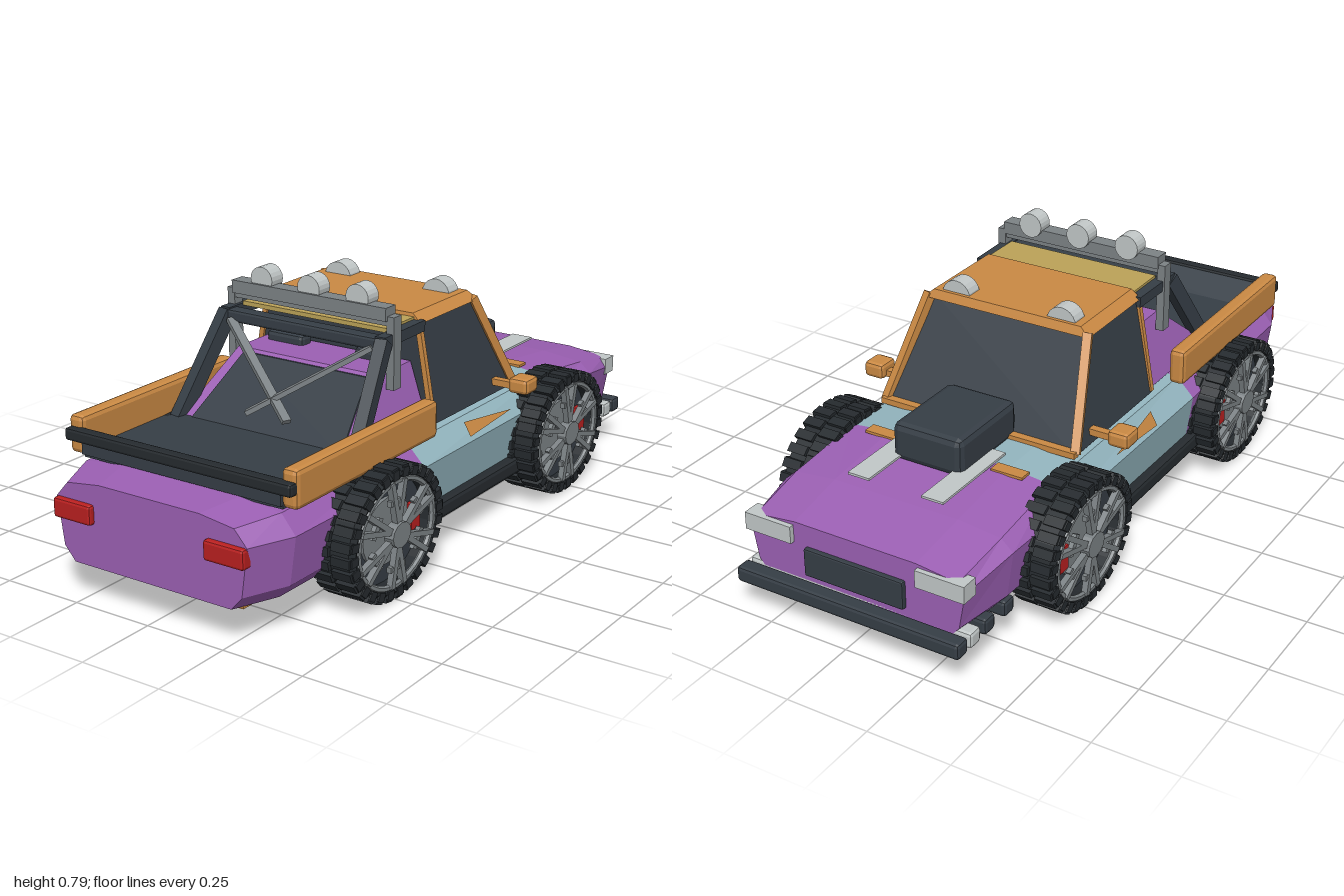
import * as THREE from 'three';
import { mergeGeometries } from 'three/addons/utils/BufferGeometryUtils.js';
import { RoundedBoxGeometry } from 'three/addons/geometries/RoundedBoxGeometry.js';

const mat = (name, color) => {
  const m = new THREE.MeshStandardMaterial({ color, flatShading: true });
  m.name = name;
  return m;
};

// Closed skin through rings of points; each ring is counter-clockwise seen from the first end.
function loft(rings) {
  const pos = [];
  const n = rings[0].length;
  const tri = (a, b, c) => pos.push(...a, ...b, ...c);
  for (let k = 0; k < rings.length - 1; k++) {
    for (let i = 0; i < n; i++) {
      const j = (i + 1) % n, a = rings[k], b = rings[k + 1];
      tri(a[i], b[i], b[j]);
      tri(a[i], b[j], a[j]);
    }
  }
  const first = rings[0], last = rings[rings.length - 1];
  for (let i = 1; i < n - 1; i++) {
    tri(first[0], first[i], first[i + 1]);
    tri(last[0], last[i + 1], last[i]);
  }
  const g = new THREE.BufferGeometry();
  g.setAttribute('position', new THREE.Float32BufferAttribute(pos, 3));
  g.computeVertexNormals();
  return g;
}

// Level rectangle used as the top or bottom of a tapered block.
const rect = (y, x, zBack, zNose) => [[x, y, zBack], [x, y, zNose], [-x, y, zNose], [-x, y, zBack]];

// Body cross-section at one station.
function bodyRing([z, top, wTop, w]) {
  const half = [[w - 0.055, 0.11], [w - 0.02, 0.15], [w, Math.min(0.29, top - 0.045)], [wTop, top - 0.015], [wTop * 0.6, top]];
  const left = half.map(([x, y]) => [x, y, z]);
  return [...left, ...left.map(([x, y]) => [-x, y, z]).reverse()];
}

export function createModel() {
  const purple = mat('purple paint', 0x9c60b4);
  const blue = mat('pale blue paint', 0x94b6c0);
  const orange = mat('orange paint', 0xcb8a44);
  const dark = mat('dark trim', 0x363e46);
  const rubber = mat('black rubber', 0x262b2f);
  const yellow = mat('yellow panel', 0xbca358);
  const pale = mat('pale grey', 0xc2c8c8);
  const metal = mat('grey metal', 0x7d8386);
  const red = mat('red', 0xba2020);

  const car = new THREE.Group();
  car.name = 'pickup';
  const add = (name, geo, material, parent = car) => {
    const m = new THREE.Mesh(geo, material);
    m.name = name;
    parent.add(m);
    return m;
  };
  // Boxes given by their limits, plain or chamfered
  const box = (name, m, x0, x1, y0, y1, z0, z1, r = 0) => {
    const s = [x1 - x0, y1 - y0, z1 - z0];
    const mesh = add(name, r ? new RoundedBoxGeometry(...s, 1, r) : new THREE.BoxGeometry(...s), m);
    mesh.position.set((x0 + x1) / 2, (y0 + y1) / 2, (z0 + z1) / 2);
    return mesh;
  };
  const pair = (name, m, x0, x1, ...rest) => {
    box(name + 'Left', m, x0, x1, ...rest);
    box(name + 'Right', m, -x1, -x0, ...rest);
  };
  const bar = (name, m, a, b, w, h = w) => {
    const p = new THREE.Vector3(...a), q = new THREE.Vector3(...b);
    const mesh = add(name, new THREE.BoxGeometry(w, h, p.distanceTo(q)), m);
    mesh.position.copy(p).lerp(q, 0.5);
    mesh.lookAt(q);
  };

  // Body shell: tail, middle, nose
  const tailEnd = [0.26, 0.362, 0.33, 0.385], cowl = [-0.49, 0.366, 0.33, 0.38];
  add('tailBody', loft([[0.98, 0.35, 0.28, 0.32], [0.85, 0.36, 0.33, 0.375], tailEnd].map(bodyRing)), purple);
  add('middleBody', loft([tailEnd, cowl].map(bodyRing)), blue);
  add('noseBody', loft([cowl, [-0.75, 0.338, 0.335, 0.372], [-0.94, 0.305, 0.325, 0.345]].map(bodyRing)), purple);

  // Floor
  box('rearFloor', orange, -0.28, 0.28, 0.103, 0.112, 0.55, 0.95);
  box('middleFloor', blue, -0.32, 0.32, 0.103, 0.112, -0.3, 0.55);
  box('frontFloor', orange, -0.3, 0.3, 0.103, 0.112, -0.9, -0.3);
  for (let i = 0; i < 6; i++) box('floorStripe', orange, -0.24, 0.24, 0.1, 0.105, -0.28 + i * 0.04, -0.26 + i * 0.04);
  pair('sill', rubber, 0.3, 0.395, 0.11, 0.16, -0.32, 0.32, 0.012);

  // Bumper bars under the nose
  [[-0.75, dark], [-0.845, dark], [-0.915, pale], [-0.975, dark]].forEach(([z, m]) =>
    box('bumperBar', m, -0.36, 0.36, 0.095, 0.142, z - 0.025, z + 0.025, 0.01));

  // Lamps and grille
  pair('tailLamp', red, 0.19, 0.32, 0.233, 0.29, 0.96, 0.998, 0.008);
  pair('headLamp', pale, 0.2, 0.352, 0.242, 0.294, -0.955, -0.9);
  box('grille', dark, -0.16, 0.16, 0.155, 0.24, -0.955, -0.93, 0.005);

  // Hood details
  box('hoodScoop', dark, -0.113, 0.113, 0.355, 0.47, -0.6, -0.31, 0.02);
  pair('hoodStripe', pale, 0.085, 0.155, 0.368, 0.375, -0.75, -0.44);
  pair('hoodPatch', orange, 0.16, 0.26, 0.36, 0.368, -0.525, -0.485);

  // Side flashes
  const flash = new THREE.BufferGeometry();
  flash.setAttribute('position', new THREE.Float32BufferAttribute(
    [0.388, 0.31, 0.02, 0.384, 0.325, -0.22, 0.365, 0.35, 0.02], 3));
  flash.computeVertexNormals();
  const flashPaint = mat('orange flash', 0xcb8a44);
  flashPaint.side = THREE.DoubleSide;
  for (const s of [1, -1]) add('sideFlash', flash, flashPaint).scale.x = s;

  // Cabin glass, roof and frame
  add('cabinGlass', loft([rect(0.66, 0.262, 0.11, -0.165), rect(0.36, 0.32, 0.11, -0.34)]), dark);
  add('roof', loft([rect(0.678, 0.245, 0.11, -0.185), rect(0.652, 0.275, 0.115, -0.195)]), orange);
  box('rearRoofPanel', yellow, -0.25, 0.25, 0.655, 0.668, 0.11, 0.25);
  for (const s of [1, -1]) {
    bar('windshieldPillar', orange, [s * 0.318, 0.365, -0.335], [s * 0.264, 0.66, -0.178], 0.026);
    bar('doorPillar', orange, [s * 0.316, 0.365, 0.11], [s * 0.264, 0.655, 0.11], 0.016);
  }
  box('windshieldBase', orange, -0.325, 0.325, 0.36, 0.378, -0.355, -0.33);
  pair('mirror', orange, 0.38, 0.446, 0.38, 0.428, -0.272, -0.2, 0.012);
  pair('mirrorArm', orange, 0.3, 0.39, 0.385, 0.405, -0.25, -0.225);

  // Sloped rear deck with its window and the headrests
  const slope = [rect(0.54, 0.245, 0.28, 0.12), rect(0.36, 0.305, 0.5, 0.12)];
  add('rearDeck', loft(slope), purple);
  add('rearWindow', loft([rect(0.532, 0.215, 0.296, 0.2), rect(0.372, 0.262, 0.492, 0.2)]), dark);
  pair('headrest', dark, 0.09, 0.22, 0.5, 0.568, 0.13, 0.18, 0.012);

  // Roll cage and crossed braces
  for (const s of [1, -1]) {
    bar('cagePillar', dark, [s * 0.305, 0.36, 0.49], [s * 0.27, 0.645, 0.295], 0.036, 0.045);
    bar('cageRail', dark, [s * 0.268, 0.645, 0.31], [s * 0.264, 0.645, 0.1], 0.032);
    bar('crossBrace', metal, [s * 0.245, 0.63, 0.315], [-s * 0.07, 0.425, 0.475], 0.026, 0.014);
  }
  box('cageTop', dark, -0.28, 0.28, 0.62, 0.657, 0.27, 0.315, 0.008);

  // Light rack
  pair('rackPost', metal, 0.263, 0.288, 0.5, 0.71, 0.235, 0.272);
  box('rackBar', metal, -0.266, 0.266, 0.697, 0.735, 0.232, 0.28);
  box('rackLowerBar', metal, -0.266, 0.266, 0.682, 0.694, 0.24, 0.27);
  const lamp = (name, x, y, z, r) => {
    const g = new THREE.CylinderGeometry(r, r, 0.052, 20).rotateX(Math.PI / 2);
    add(name, g, pale).position.set(x, y, z);
  };
  [-0.165, 0, 0.165].forEach(x => lamp('rackLamp', x, 0.748, 0.246, 0.038));
  [-0.175, 0.175].forEach(x => lamp('roofLamp', x, 0.668, -0.148, 0.047));

  // Cargo bed
  pair('bedRail', orange, 0.333, 0.384, 0.36, 0.47, 0.19, 0.855, 0.014);
  box('bedFloor', dark, -0.335, 0.335, 0.355, 0.378, 0.48, 0.85);
  add('bedRamp', loft([rect(0.43, 0.335, 0.86, 0.845), rect(0.365, 0.335, 0.86, 0.74)]), dark);
  box('tailBar', rubber, -0.38, 0.38, 0.402, 0.438, 0.842, 0.878, 0.008);

  // Wheels: tyre with tread blocks, rim, twin spokes, hub and brake
  const tyreProfile = [[0.15, -0.058], [0.165, -0.066], [0.18, -0.055], [0.18, 0.055], [0.165, 0.066], [0.15, 0.058], [0.15, -0.058]];
  const tyre = new THREE.LatheGeometry(tyreProfile.map(p => new THREE.Vector2(...p)), 36).rotateZ(Math.PI / 2);
  const lugs = [], spokes = [];
  for (let i = 0; i < 28; i++) {
    const a = (i / 28) * Math.PI * 2;
    for (const s of [1, -1]) {
      lugs.push(new THREE.BoxGeometry(0.06, 0.018, 0.026).translate(s * 0.034, 0.18, 0).rotateX(a + s * 0.055));
      lugs.push(new THREE.BoxGeometry(0.012, 0.026, 0.024).translate(s * 0.062, 0.17, 0).rotateX(a + s * 0.055));
    }
  }
  for (let i = 0; i < 6; i++) {
    for (const s of [1, -1]) {
      spokes.push(new THREE.BoxGeometry(0.018, 0.125, 0.015).translate(0, 0.062, 0)
        .rotateX(s * 0.2).translate(0.062, 0.028, 0).rotateX(i * Math.PI / 3));
    }
    spokes.push(new THREE.BoxGeometry(0.014, 0.016, 0.06).translate(0.06, 0.095, 0).rotateX(i * Math.PI / 3));
  }
  const lugGeo = mergeGeometries(lugs), spokeGeo = mergeGeometries(spokes);
  const disc = (r, w, x, n = 24) => new THREE.CylinderGeometry(r, r, w, n).rotateZ(Math.PI / 2).translate(x, 0, 0);
  const rim = new THREE.TorusGeometry(0.15, 0.009, 6, 36).rotateY(Math.PI / 2).translate(0.058, 0, 0);
  for (const [end, z] of [['rear', 0.493], ['front', -0.467]]) {
    for (const s of [1, -1]) {
      const w = new THREE.Group();
      w.name = end + 'Wheel';
      w.position.set(s * 0.384, 0.19, z);
      w.rotation.y = s > 0 ? 0 : Math.PI;
      w.scale.z = 1.21;
      add('tyre', tyre, rubber, w);
      add('tread', lugGeo, rubber, w);
      add('wheelBack', disc(0.151, 0.06, -0.01), dark, w);
      add('brakeDisc', disc(0.095, 0.01, 0.025), metal, w);
      add('rim', rim, metal, w);
      add('spokes', spokeGeo, metal, w);
      add('hub', disc(0.036, 0.03, 0.064, 12), metal, w);
      add('brakeCaliper', new THREE.BoxGeometry(0.02, 0.075, 0.035).translate(0.036, 0.008, -s * 0.098), red, w);
      car.add(w);
    }
  }
  return car;
}
